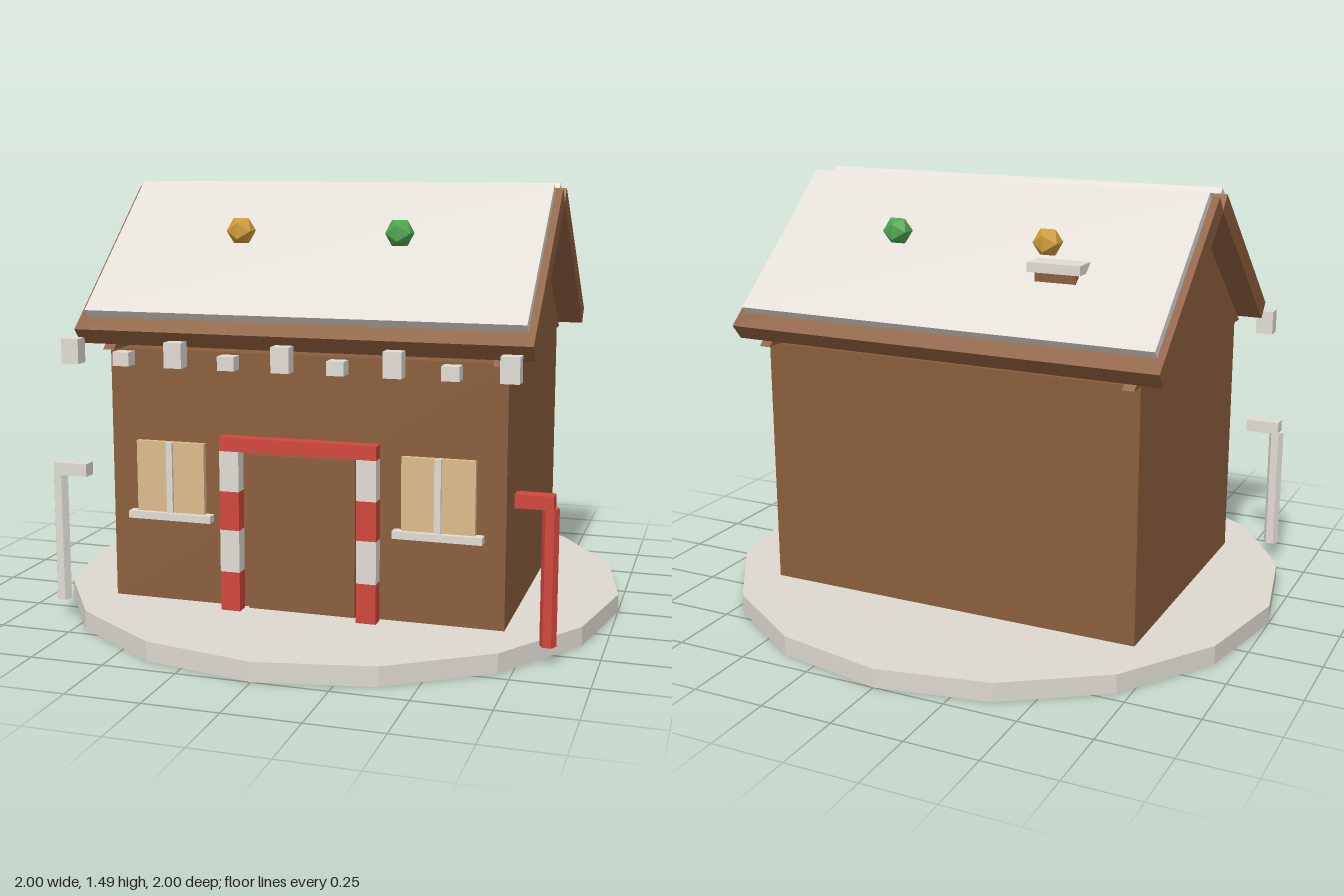
import * as THREE from 'three';

function mat(name, color) {
  const m = new THREE.MeshStandardMaterial({ color });
  m.name = name;
  return m;
}

export function createModel() {
  const model = new THREE.Group();
  model.name = 'gingerbreadHouse';

  const ginger = mat('gingerbread', 0x8b5e3c);
  const icing = mat('icing', 0xe0dbd4);
  const ground = mat('snowGround', 0xdcd8cf);
  const red = mat('candyRed', 0xd0463c);
  const pane = mat('windowGlow', 0xdcbb8c);
  const gold = mat('goldGumdrop', 0xcf9b38);
  const green = mat('greenGumdrop', 0x4fa64f);
  [gold, green].forEach((m) => { m.flatShading = true; });

  function add(name, geometry, material, x, y, z, parent = model) {
    const mesh = new THREE.Mesh(geometry, material);
    mesh.name = name;
    mesh.position.set(x, y, z);
    parent.add(mesh);
    return mesh;
  }

  // Box given by its extents on each axis
  function box(name, material, [x0, x1], [y0, y1], [z0, z1], parent = model) {
    return add(name, new THREE.BoxGeometry(x1 - x0, y1 - y0, z1 - z0), material,
      (x0 + x1) / 2, (y0 + y1) / 2, (z0 + z1) / 2, parent);
  }

  // Faceted round base
  const disc = new THREE.CylinderGeometry(1, 1, 0.065, 16).toNonIndexed();
  disc.computeVertexNormals();
  add('base', disc, ground, 0, 0.0325, 0);

  // Walls
  box('walls', ginger, [-0.688, 0.688], [0.065, 0.94], [-0.5, 0.5]);

  // Thin triangular gable at each end, hollow between
  const tri = new THREE.Shape();
  tri.moveTo(-0.56, 0);
  tri.lineTo(0.56, 0);
  tri.lineTo(0, 0.475);
  tri.closePath();
  const gableGeo = new THREE.ExtrudeGeometry(tri, { depth: 0.04, bevelEnabled: false });
  gableGeo.translate(0, 0, -0.02);
  for (const s of [-1, 1]) {
    add('gable', gableGeo, ginger, s * 0.668, 0.94, 0).rotation.y = Math.PI / 2;
  }

  // Roof slopes with a snow layer and two gumdrops each
  const pitch = THREE.MathUtils.degToRad(40.5);
  for (const s of [1, -1]) {
    const slope = new THREE.Group();
    slope.name = s > 0 ? 'frontRoof' : 'backRoof';
    slope.position.set(0, 1.217, s * 0.293);
    slope.rotation.x = s * pitch;
    model.add(slope);
    add('roofPanel', new THREE.BoxGeometry(1.556, 0.068, 0.72), ginger, 0, 0, 0, slope);
    add('roofSnow', new THREE.BoxGeometry(1.505, 0.03, 0.65), icing, 0, 0.049, s * -0.026, slope);

    const drop = new THREE.IcosahedronGeometry(0.051, 0);
    add('goldGumdrop', drop, gold, -0.283, 1.333, s * 0.302);
    add('greenGumdrop', drop, green, 0.278, 1.333, s * 0.302);
  }

  // Chimney passing through the back slope
  box('chimneyShaft', ginger, [-0.42, -0.275], [0.92, 1.25], [-0.39, -0.235]);
  box('chimneyCap', icing, [-0.44, -0.255], [1.25, 1.282], [-0.405, -0.22]);

  // Icing drips under the front eave, long and short in turn
  for (let i = 0; i < 9; i++) {
    const x = -0.785 + i * 0.187;
    const long = i % 2 === 0;
    const w = long ? 0.031 : 0.029;
    box('icingDrip', icing, [x - w, x + w], [0.894, long ? 0.979 : 0.941], [0.563, 0.614]);
  }

  // Door
  box('door', ginger, [-0.187, 0.187], [0.065, 0.6], [0.49, 0.515]);

  // Striped door posts and lintel
  const bands = [0.065, 0.2, 0.345, 0.478, 0.615];
  for (const s of [-1, 1]) {
    for (let i = 0; i < 4; i++) {
      box('doorPostBand', i % 2 ? icing : red, [s * 0.238 - 0.034, s * 0.238 + 0.034],
        [bands[i], bands[i + 1]], [0.512, 0.56]);
    }
  }
  box('doorLintel', red, [-0.272, 0.272], [0.615, 0.662], [0.512, 0.56]);

  // Windows with a centre bar and sill
  for (const s of [-1, 1]) {
    const win = new THREE.Group();
    win.name = s > 0 ? 'leftWindow' : 'rightWindow';
    win.position.x = s * 0.468;
    model.add(win);
    box('windowPane', pane, [-0.123, 0.123], [0.375, 0.625], [0.49, 0.52], win);
    box('windowBar', icing, [-0.011, 0.011], [0.375, 0.625], [0.5, 0.53], win);
    box('windowSill', icing, [-0.15, 0.15], [0.355, 0.38], [0.495, 0.538], win);
  }

  // Six-sided candy canes with a hooked top
  const post = new THREE.CylinderGeometry(0.027, 0.027, 0.445, 6).toNonIndexed();
  post.rotateY(Math.PI / 6);
  post.computeVertexNormals();
  for (const [s, m] of [[-1, icing], [1, red]]) {
    add('canePost', post, m, s * 0.844, 0.2875, 0.595);
    add('caneHook', new THREE.BoxGeometry(0.122, 0.044, 0.05), m, s * 0.795, 0.53, 0.595);
  }

  return model;
}
